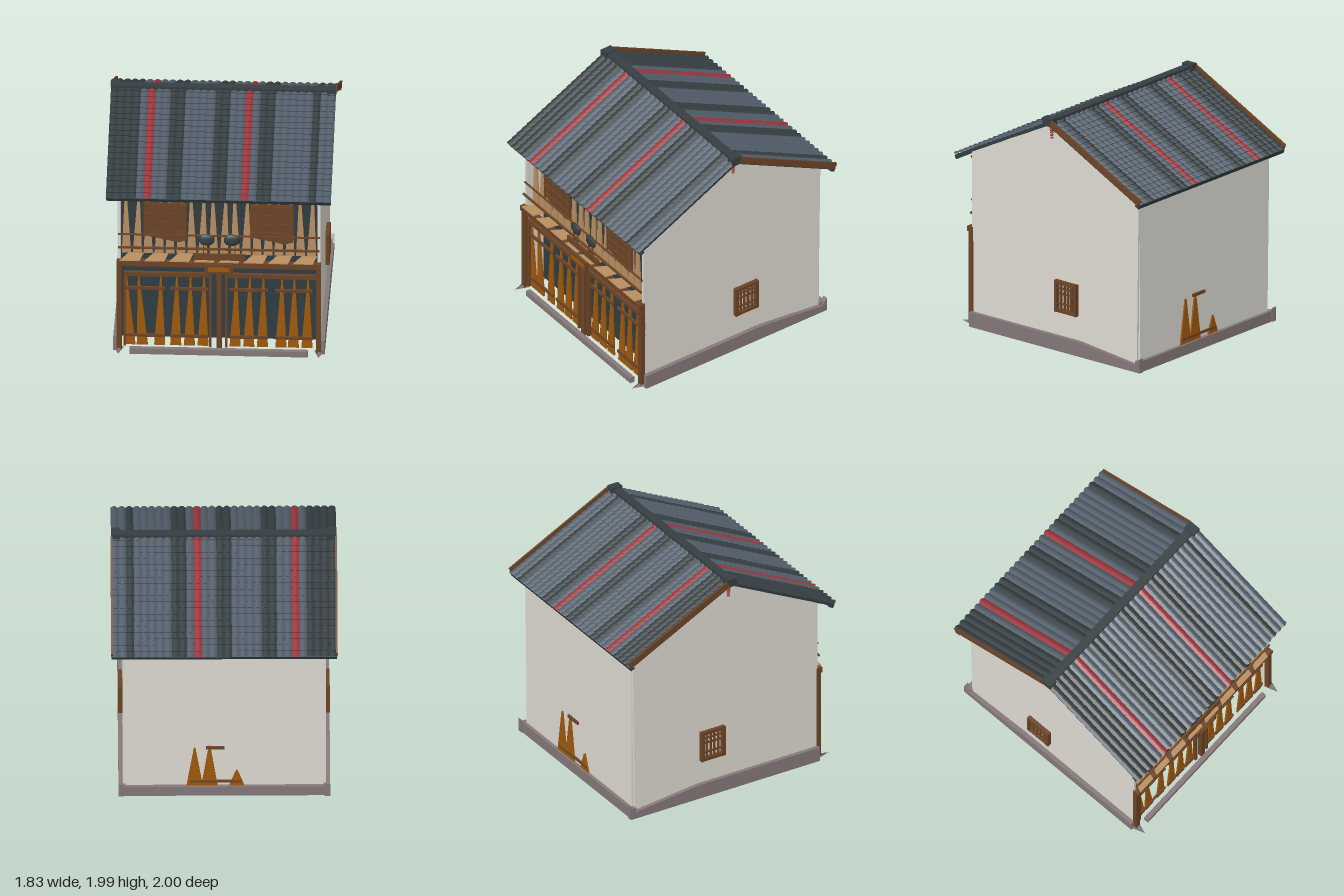
import * as THREE from 'three';
import { mergeGeometries } from 'three/addons/utils/BufferGeometryUtils.js';

const mat = (name, color, side = THREE.FrontSide) => {
  const m = new THREE.MeshStandardMaterial({ color, side });
  m.name = name;
  return m;
};

export function createModel() {
  const house = new THREE.Group();
  house.name = 'townHouse';
  const plaster = mat('plaster', 0xdedad2, THREE.DoubleSide);
  const stone = mat('stone', 0x857879);
  const slate = mat('slate', 0x525e6a);
  const darkSlate = mat('darkSlate', 0x363f42);
  const dark = mat('darkPanel', 0x303d41, THREE.DoubleSide);
  const red = mat('redTile', 0x9c363c);
  const brown = mat('brownWood', 0x6c4427);
  const orange = mat('orangeWood', 0xa0590c);
  const beige = mat('paleWood', 0xb98f60);

  const add = (name, geo, material, x = 0, y = 0, z = 0, parent = house) => {
    const m = new THREE.Mesh(geo, material);
    m.name = name;
    m.position.set(x, y, z);
    parent.add(m);
    return m;
  };
  // box given by its limits
  const box = (name, material, x0, x1, y0, y1, z0, z1, parent = house) =>
    add(name, new THREE.BoxGeometry(x1 - x0, y1 - y0, z1 - z0), material,
      (x0 + x1) / 2, (y0 + y1) / 2, (z0 + z1) / 2, parent);
  const extrude = (pts, depth) => new THREE.ExtrudeGeometry(
    new THREE.Shape(pts.map(p => new THREE.Vector2(...p))), { depth, bevelEnabled: false });
  // tapering slat: wide foot, pointed top
  const slat = (name, material, x, y0, y1, w, z, lean = 0) =>
    add(name, extrude([[-w / 2, 0], [w / 2, 0], [lean + 0.006, y1 - y0], [lean - 0.006, y1 - y0]], 0.015),
      material, x, y0, z);

  // walls and inner panels
  const gable = extrude([[-0.87, 0.02], [0.87, 0.02], [0.89, 1.475], [0, 1.92], [-0.87, 1.485]], 0.02);
  for (const x of [-0.82, 0.8]) add('sideWall', gable, plaster, x).rotation.y = Math.PI / 2;
  box('backWall', plaster, -0.8, 0.8, 0.02, 1.47, -0.89, -0.87);
  box('frontPanel', dark, -0.8, 0.8, 0.05, 1.56, 0.69, 0.7);
  // floor, with an open corner at the back
  add('floor', extrude([[-0.8, -0.7], [0.8, -0.7], [0.8, 0.87], [0.38, 0.87], [0.15, 0.62], [-0.8, 0.76]], 0.01),
    dark, 0, 0.04).rotation.x = -Math.PI / 2;

  // stone base
  const plinth = extrude([[-0.87, 0], [0.93, 0], [0.93, 0.12], [0.88, 0.06], [0.28, 0.125], [-0.87, 0.125]], 0.045);
  for (const s of [-1, 1]) {
    add('sidePlinth', plinth, stone, s < 0 ? -0.855 : 0.81).rotation.y = Math.PI / 2;
    const foot = add('cornerStone', new THREE.ConeGeometry(0.04, 0.12, 4), stone, s * 0.81, 0.025, 0.92);
    foot.rotation.x = Math.PI / 2;
    foot.scale.z = 0.55;
  }
  box('backPlinth', stone, -0.84, 0.84, 0, 0.09, -0.92, -0.87);
  box('frontSill', stone, -0.72, 0.72, 0, 0.05, 0.89, 0.93);

  // one column of stepped, rounded tiles along the slope
  const COLS = 30, ROWS = 20, WIDTH = 1.82, LEN = 1.105, ARC = 5;
  const tileColumn = x0 => {
    const w = WIDTH / COLS, lines = [], pos = [];
    for (let r = 0; r < ROWS; r++) for (const end of [0, 1]) {
      const line = [];
      for (let j = 0; j <= ARC; j++) {
        const b = Math.sin(Math.PI * j / ARC);
        line.push([x0 + w * j / ARC, 0.003 + b * 0.014 + end * 0.01, LEN * (r + end) / ROWS - (1 - end) * 0.002 - 0.008 * (1 - b)]);
      }
      lines.push(line);
    }
    for (let i = 0; i < lines.length - 1; i++) for (let j = 0; j < ARC; j++) {
      const a = lines[i][j], b = lines[i + 1][j], c = lines[i + 1][j + 1], d = lines[i][j + 1];
      pos.push(...a, ...b, ...c, ...a, ...c, ...d);
    }
    const g = new THREE.BufferGeometry();
    g.setAttribute('position', new THREE.Float32BufferAttribute(pos, 3));
    g.computeVertexNormals();
    return g;
  };

  // two roof slopes
  const darkCols = [0, 1, 2, 3, 8, 9, 14, 15, 20, 21, 27];
  for (const back of [false, true]) {
    const turn = new THREE.Group();
    turn.name = back ? 'backSlope' : 'frontSlope';
    turn.rotation.y = back ? Math.PI : 0;
    house.add(turn);
    const slope = new THREE.Group();
    slope.name = 'slopeSurface';
    slope.position.y = 1.95;
    slope.rotation.x = 0.468;
    turn.add(slope);
    const sets = [[], [], []];
    for (let i = 0; i < COLS; i++) {
      const k = back ? COLS - 1 - i : i;
      sets[k === 5 || k === 18 ? 2 : darkCols.includes(k) ? 1 : 0].push(tileColumn(-WIDTH / 2 + i * WIDTH / COLS));
    }
    ['slateTiles', 'darkTiles', 'redTiles'].forEach((n, i) =>
      add(n, mergeGeometries(sets[i]), [slate, darkSlate, red][i], 0, 0, 0, slope));
    box('roofDeck', dark, -0.905, 0.905, -0.02, 0.002, 0, 1.095, slope);
    box('eaveRail', darkSlate, -0.91, 0.91, -0.035, -0.005, 1.055, 1.095, slope);
    if (back) for (const x of [-0.907, 0.907])
      box('bargeBoard', brown, x - 0.008, x + 0.008, -0.01, 0.045, 0.03, 1.085, slope);
    for (let i = 0; i < 13; i++) {
      const x = -0.75 + i * 0.125;
      box('rafterEnd', brown, x - 0.012, x + 0.012, -0.07, -0.05, 0.9, 1.07, slope);
    }
  }
  box('ridge', darkSlate, -0.91, 0.91, 1.93, 1.975, -0.035, 0.035);
  for (const s of [-1, 1]) {
    box('ridgeCap', darkSlate, s * 0.875 - 0.035, s * 0.875 + 0.035, 1.92, 1.99, -0.05, 0.05);
    // hanging ornament under the ridge
    for (let i = 0; i < 5; i++)
      add('pendantBead', new THREE.SphereGeometry(0.021 - i * 0.002, 8, 6), red, s * 0.85, 1.9 - i * 0.023, 0).scale.y = 0.6;

    // barred side window
    const win = new THREE.Group();
    win.name = 'sideWindow';
    win.position.set(s * 0.835, 0.465, -0.14);
    house.add(win);
    for (const e of [-1, 1]) {
      box('windowJamb', brown, -0.02, 0.02, -0.135, 0.135, e * 0.1 - 0.014, e * 0.1 + 0.014, win);
      box('windowRail', brown, -0.018, 0.018, e * 0.12 - 0.014, e * 0.12 + 0.014, -0.11, 0.11, win);
    }
    for (const z of [-0.055, -0.018, 0.018, 0.055]) box('windowBar', brown, -0.01, 0.01, -0.12, 0.12, z - 0.006, z + 0.006, win);
    for (const y of [-0.06, 0.025, 0.07]) box('crossBar', brown, -0.008, 0.008, y - 0.006, y + 0.006, -0.1, 0.1, win);
  }

  // front timber frame
  for (const x of [-0.805, 0.805]) {
    box('cornerPost', brown, x - 0.02, x + 0.02, 0.02, 0.84, 0.86, 0.9);
    box('upperPost', plaster, x - 0.01, x + 0.01, 0.84, 1.45, 0.85, 0.87);
  }
  box('centrePost', brown, -0.018, 0.022, 0.03, 0.8, 0.85, 0.89);
  box('frontBeam', brown, -0.825, 0.825, 0.8, 0.845, 0.86, 0.915);
  for (let i = 0; i < 8; i++) {
    const x = -0.7 + i * 0.2;
    add('ledgeBoard', extrude([[-0.1, 0], [0.06, 0], [0.09, 0.14], [-0.03, 0.14]], 0.006), beige, x, 0.85, 0.92)
      .rotation.x = -Math.PI / 2;
  }

  // doors: frame with groups of pointed slats
  for (const [x0, x1] of [[-0.77, -0.06], [0.05, 0.82]]) {
    box('doorHead', brown, x0, x1, 0.69, 0.725, 0.85, 0.88);
    box('doorStile', brown, x0, x0 + 0.02, 0.05, 0.7, 0.85, 0.88);
    box('doorStile', brown, x1 - 0.02, x1, 0.05, 0.7, 0.85, 0.88);
  }
  const groups = [[-0.72, -0.62, -0.48], [-0.35, -0.24, -0.13], [0.13, 0.24, 0.35], [0.5, 0.6, 0.71]];
  groups.forEach((g, gi) => {
    g.forEach((x, i) => slat('doorSlat', orange, x, 0.05, 0.68, 0.09, 0.845, gi === 0 && i < 2 ? -0.03 : 0.01));
    for (const y of [0.14, 0.575]) box('doorBar', brown, g[0] - 0.045, g[2] + 0.045, y - 0.012, y + 0.012, 0.855, 0.872);
  });

  // upper floor slats, solid shutters and rails
  for (let i = 0; i < 18; i++) slat('upperSlat', beige, -0.75 + i * 0.088, 0.87, 1.45, 0.075, 0.8, i % 2 ? 0.012 : -0.006);
  for (const x of [-0.43, 0.43]) {
    add('shutter', extrude([[-0.18, 0.06], [0.1, 0], [0.17, 0.02], [0.17, 0.36], [-0.18, 0.36]], 0.008),
      brown, x, 0.98, 0.816);
    for (const dx of [-0.17, -0.085, 0, 0.085, 0.16]) box('shutterBar', brown, x + dx - 0.008, x + dx + 0.008, 1.03, 1.34, 0.824, 0.832);
    for (const y of [1.08, 1.16, 1.24, 1.32]) box('shutterRail', brown, x - 0.18, x + 0.17, y - 0.007, y + 0.007, 0.824, 0.834);
  }
  box('upperRail', brown, -0.815, 0.815, 1.068, 1.08, 0.87, 0.882);
  box('lowerRail', brown, -0.815, 0.815, 0.95, 0.966, 0.88, 0.895);

  // sign boards and lamps
  box('signBoard', brown, -0.21, 0.21, 0.85, 0.91, 0.87, 0.89);
  box('signPlaque', brown, -0.115, 0.115, 0.755, 0.84, 0.915, 0.935);
  box('signInset', orange, -0.085, 0.085, 0.777, 0.815, 0.935, 0.939);
  for (const x of [-0.1, 0.105]) {
    for (const dx of [-0.025, 0.025]) box('lampStem', brown, x + dx - 0.005, x + dx + 0.005, 0.9, 1.02, 0.876, 0.886);
    add('lamp', new THREE.SphereGeometry(0.06, 8, 5), darkSlate, x, 1.04, 0.88).scale.set(1.15, 0.9, 0.35);
  }

  // pointed timbers against the back wall
  for (const [x, h, w] of [[0.24, 0.38, 0.13], [0.12, 0.4, 0.13], [-0.1, 0.15, 0.12]])
    slat('backSlat', orange, x, 0.09, 0.09 + h, w, -0.903);
  box('backBar', brown, 0, 0.15, 0.46, 0.485, -0.905, -0.89);
  box('backLowBar', brown, -0.14, 0.28, 0.12, 0.14, -0.904, -0.89);
  return house;
}
